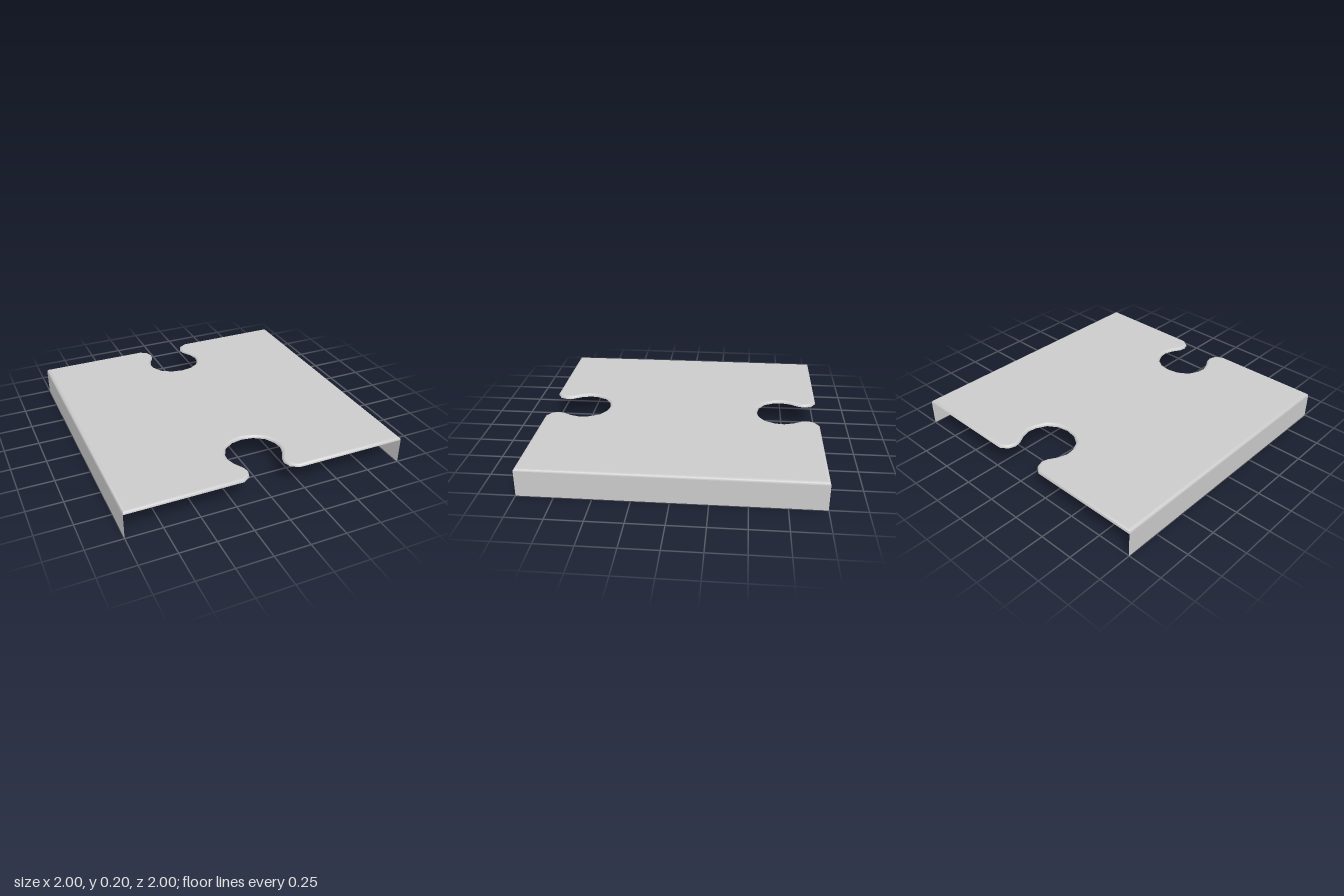
import * as THREE from 'three';
import { toCreasedNormals } from 'three/addons/utils/BufferGeometryUtils.js';

const LIP = 0.18;    // height of the lower rim of the deck
const ROUND = 0.02;  // radius of the rounded edge
const STEPS = 4;

// Half of a keyhole notch: from the deck edge to the notch's deepest point
const NOTCH = [[0.2, 1], [0.148, 0.965], [0.13, 0.915], [0.14, 0.87], [0.175, 0.81],
  [0.195, 0.745], [0.188, 0.685], [0.15, 0.612], [0.08, 0.567], [0, 0.553]];

// Counter-clockwise deck outline in (x, -z); the second half is the first turned by 180 degrees
function deckOutline() {
  const half = [new THREE.Vector2(-1, -1)];
  NOTCH.forEach(([x, d]) => half.push(new THREE.Vector2(-x, -d)));
  NOTCH.slice(0, -1).reverse().forEach(([x, d]) => half.push(new THREE.Vector2(x, -d)));
  half.push(new THREE.Vector2(1, -1));
  return [...half, ...half.map((p) => p.clone().negate())];
}

// Move every edge of the outline inward by the same distance
function inset(points, distance) {
  const n = points.length;
  return points.map((p, i) => {
    const a = p.clone().sub(points[(i + n - 1) % n]).normalize();
    const b = points[(i + 1) % n].clone().sub(p).normalize();
    const na = new THREE.Vector2(-a.y, a.x);
    const nb = new THREE.Vector2(-b.y, b.x);
    const miter = na.clone().add(nb).divideScalar(1 + na.dot(nb));
    return p.clone().addScaledVector(miter, distance);
  });
}

function geometryFrom(positions, indices) {
  const geometry = new THREE.BufferGeometry();
  geometry.setAttribute('position', new THREE.Float32BufferAttribute(positions, 3));
  geometry.setIndex(indices);
  geometry.computeVertexNormals();
  return geometry;
}

export function createModel() {
  const group = new THREE.Group();
  const material = new THREE.MeshStandardMaterial({ color: 0xcccccc, side: THREE.DoubleSide });
  const add = (name, geometry) => {
    const mesh = new THREE.Mesh(geometry, material);
    mesh.name = name;
    group.add(mesh);
    return mesh;
  };

  const outline = deckOutline();
  const n = outline.length;
  const top = inset(outline, ROUND);

  // Flat deck surface
  const faces = THREE.ShapeUtils.triangulateShape(top, []);
  add('deckTop', geometryFrom(top.flatMap((p) => [p.x, LIP + ROUND, -p.y]), faces.flat()));

  // Quarter-round edge following the outline
  const positions = [];
  const indices = [];
  for (let k = 0; k <= STEPS; k++) {
    const angle = (k / STEPS) * Math.PI / 2;
    const ring = inset(outline, ROUND * (1 - Math.cos(angle)));
    ring.forEach((p) => positions.push(p.x, LIP + ROUND * Math.sin(angle), -p.y));
    if (k === STEPS) break;
    for (let i = 0; i < n; i++) {
      const a = k * n + i;
      const b = k * n + (i + 1) % n;
      indices.push(a, b, b + n, a, b + n, a + n);
    }
  }
  add('roundedEdge', toCreasedNormals(geometryFrom(positions, indices), 0.9));

  // Thin side skirts that carry the deck
  for (const [name, side] of [['leftSkirt', 1], ['rightSkirt', -1]]) {
    const skirt = add(name, new THREE.PlaneGeometry(2, LIP));
    skirt.position.set(side, LIP / 2, 0);
    skirt.rotation.y = side * Math.PI / 2;
  }
  return group;
}
